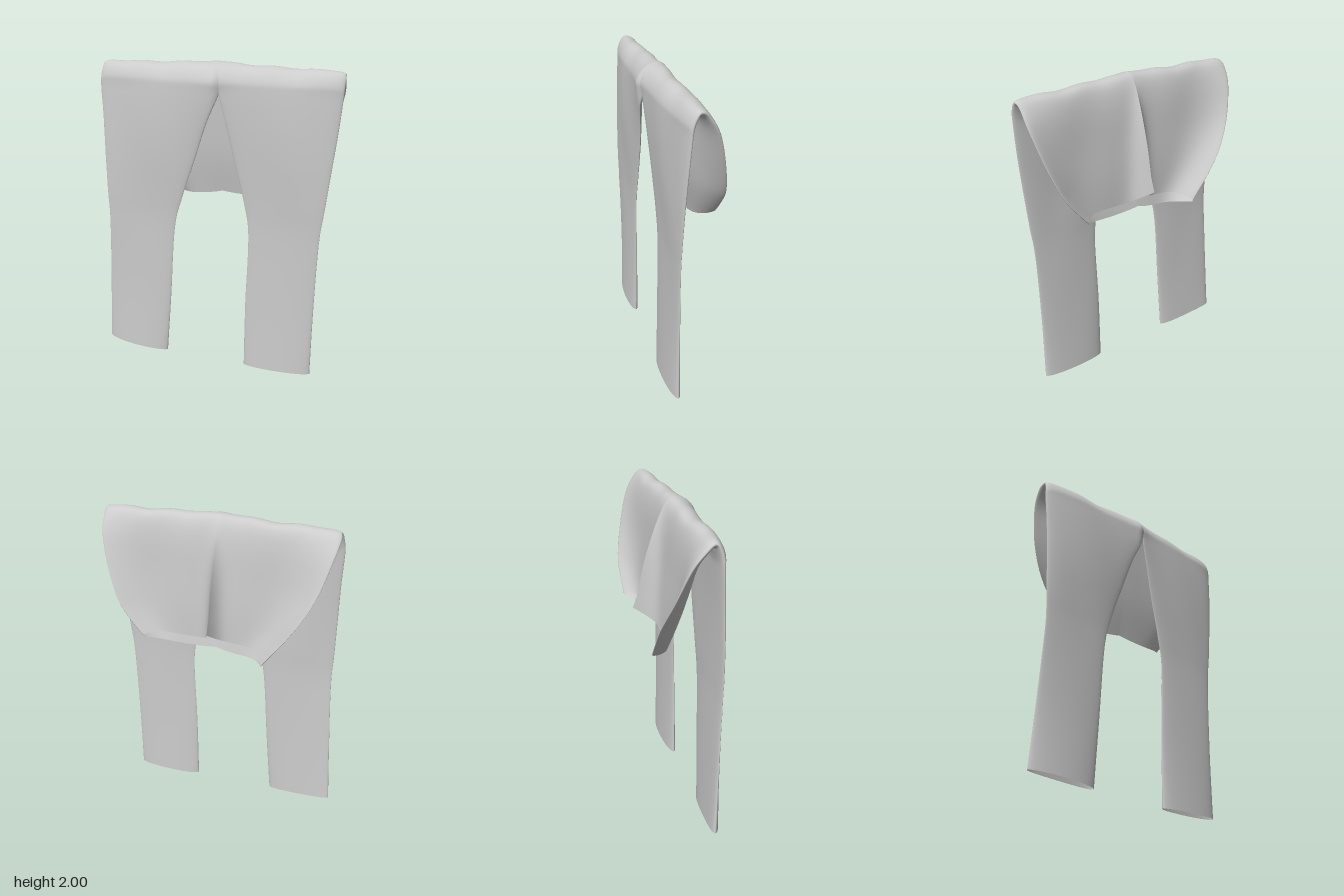
import * as THREE from 'three';

// Trousers hung over a rail: sections run from the leg hem, over the fold, down the back to the waist.
// yo, zo: outer cloth; yi, zi: inner cloth; lx0, lx1 / rx0, rx1: inseam and side edge of each half;
// open: 0 = closed leg tube, 1 = joined hips; cup: backward curl of the side;
// seam: centre seam pushed back (negative: bulging forward at the crotch)
const KEYS = ['yo', 'zo', 'yi', 'zi', 'lx0', 'lx1', 'rx0', 'rx1', 'open', 'cup', 'seam'];
const legSections = [
  [0.00, 0.172, 0.00, 0.09, -0.34, -0.77, 0.20, 0.645, 0, 0, 0],
  [0.45, 0.155, 0.45, 0.105, -0.305, -0.745, 0.205, 0.65, 0, 0, 0],
  [0.92, 0.147, 0.92, 0.115, -0.27, -0.72, 0.22, 0.665, 0, 0, 0],
  [1.14, 0.152, 1.14, 0.112, -0.215, -0.725, 0.19, 0.69, 0, 0, 0],
  [1.40, 0.163, 1.40, 0.108, -0.125, -0.73, 0.13, 0.72, 0, 0.01, -0.01],
  [1.62, 0.167, 1.62, 0.102, -0.05, -0.735, 0.08, 0.745, 0, 0.02, -0.03],
];
const hipSections = [
  [1.83, 0.163, 1.80, 0.092, 0.035, -0.745, 0.035, 0.762, 0, 0.025, -0.045],
  [1.90, 0.151, 1.85, 0.084, 0.035, -0.742, 0.035, 0.766, 0.6, 0.02, -0.045],
  [1.955, 0.11, 1.88, 0.07, 0.015, -0.735, 0.015, 0.768, 1, 0.01, -0.025],
  [1.972, 0.055, 1.895, 0.057, 0, -0.73, 0, 0.766, 1, 0, 0],
  [1.94, 0.005, 1.88, 0.046, 0, -0.735, 0, 0.76, 1, 0.015, 0.005],
  [1.82, -0.025, 1.80, 0.038, 0, -0.71, 0, 0.75, 1, 0.07, 0.035],
  [1.60, -0.042, 1.60, 0.024, 0, -0.64, 0, 0.69, 1, 0.125, 0.09],
  [1.40, -0.055, 1.38, 0.002, 0, -0.52, 0, 0.60, 1, 0.155, 0.12],
  [1.21, -0.062, 1.15, -0.04, 0, -0.34, 0, 0.45, 1, 0.13, 0.148],
];
const sections = [...legSections, ...hipSections];
const FOLD = 9;    // section on the crest of the fold
const SUB = 5;     // rows between sections
const ACROSS = 32; // columns per cloth layer

// Smooth section at fractional position t
function sectionAt(t) {
  const i = Math.min(Math.floor(t), sections.length - 2), f = t - i;
  const at = (k) => sections[Math.max(0, Math.min(sections.length - 1, k))];
  const out = {};
  KEYS.forEach((key, k) => {
    const [a, b, c, d] = [at(i - 1)[k], at(i)[k], at(i + 1)[k], at(i + 2)[k]];
    out[key] = b + 0.5 * f * (c - a + f * (2 * a - 5 * b + 4 * c - d + f * (3 * (b - c) + d - a)));
  });
  out.open = THREE.MathUtils.clamp(out.open, 0, 1);
  return out;
}

// One half of the cloth: outer layer from inseam to side, then inner layer back to the inseam
function makeHalf(side) {
  const left = side > 0;
  const rows = (sections.length - 1) * SUB, cols = ACROSS * 2;
  const pos = [], idx = [];
  for (let r = 0; r <= rows; r++) {
    const t = r / SUB, s = sectionAt(t);
    const x0 = left ? s.rx0 : s.lx0, x1 = left ? s.rx1 : s.lx1;
    const topness = Math.exp(-(((t - FOLD) / 1.6) ** 2));
    const waist = Math.max(0, t - 13);
    const front = t < FOLD;
    for (let c = 0; c <= cols; c++) {
      const outer = c <= ACROSS;
      const v = (outer ? c : cols - c) / ACROSS;
      const u = 0.5 - 0.5 * Math.cos(Math.PI * v);
      const x = x0 + (x1 - x0) * u;
      // Lens-shaped thickness, closed at the side and, on the legs, at the inseam
      const inseam = THREE.MathUtils.lerp(Math.sqrt(1 - (1 - u) ** 4), 1, s.open);
      const lens = Math.sqrt(Math.max(0, 1 - u ** (4 + 4 * s.open)));
      const h = 0.5 * inseam * lens * (outer ? 1 : -1);
      let y = (s.yo + s.yi) / 2 + h * (s.yo - s.yi);
      let z = (s.zo + s.zi) / 2 + h * (s.zo - s.zi);
      // Backward curl of the sides, centre seam and dipping waist
      z -= s.cup * (left ? 0.82 : 1) * u ** (front ? 3 : 6);
      const ridge = Math.exp(-Math.abs(x) / (front ? 0.12 : 0.035));
      if (front || outer) z -= s.seam * ridge;
      if (outer) y += 0.1 * waist * ridge;
      else y -= (left ? 0.12 : 0.28) * waist * Math.abs(x) * (1 - u);
      y += waist * (left ? 0.03 : -0.035) * u ** 3;
      // Uneven hem, sagging fold and soft wrinkles
      if (!left) {
        y += (0.02 + 0.035 * u) * Math.max(0, 1 - t);
        z -= 0.03 * u ** 3 * Math.max(0, 1 - t / 2);
      }
      y += topness * (0.026 * (1 - u) ** 2 + 0.02 * u ** 6);
      y += topness * 0.005 * Math.sin(x * 23) * Math.sin(Math.PI * u);
      const wrinkle = Math.sin(Math.PI * u) * Math.min(1, t / 4);
      z += 0.006 * wrinkle * Math.sin(x * 13 + y * 5 + side) * (0.4 + topness);
      pos.push(x, y, z);
    }
  }
  const w = cols + 1;
  for (let r = 0; r < rows; r++) {
    for (let c = 0; c < cols; c++) {
      const a = r * w + c, b = a + 1, d = a + w, e = d + 1;
      if (left) idx.push(a, b, d, b, e, d);
      else idx.push(a, d, b, b, d, e);
    }
  }
  const geo = new THREE.BufferGeometry();
  geo.setAttribute('position', new THREE.Float32BufferAttribute(pos, 3));
  geo.setIndex(idx);
  geo.computeVertexNormals();
  return geo;
}

export function createModel() {
  const group = new THREE.Group();
  group.name = 'foldedTrousers';
  const cloth = new THREE.MeshStandardMaterial({ color: 0xcccccc, side: THREE.DoubleSide });
  for (const [name, side] of [['leftHalf', 1], ['rightHalf', -1]]) {
    const mesh = new THREE.Mesh(makeHalf(side), cloth);
    mesh.name = name;
    group.add(mesh);
  }
  return group;
}
